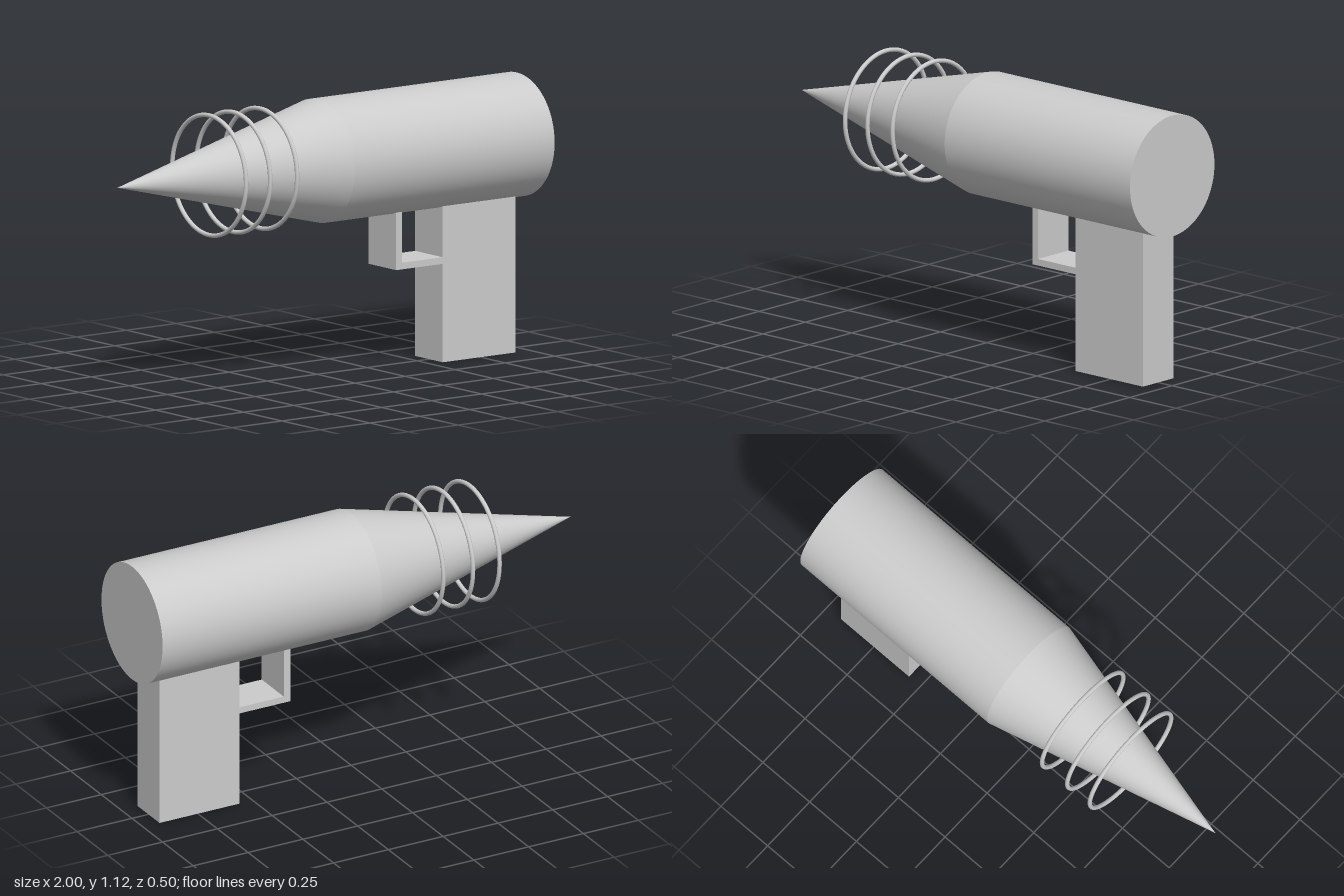
import * as THREE from 'three';

export function createModel() {
  const model = new THREE.Group();
  const material = new THREE.MeshStandardMaterial({ color: 0xcccccc });
  const axisY = 0.863, radius = 0.249;

  function add(name, geometry, x, y, z = 0) {
    const mesh = new THREE.Mesh(geometry, material);
    mesh.name = name;
    mesh.position.set(x, y, z);
    model.add(mesh);
    return mesh;
  }

  // Box given by its x and y limits, centred on z
  function addBox(name, x0, x1, y0, y1, depth = 0.18) {
    const geometry = new THREE.BoxGeometry(x1 - x0, y1 - y0, depth);
    return add(name, geometry, (x0 + x1) / 2, (y0 + y1) / 2, -0.001);
  }

  // Barrel and pointed nose, both lying along x
  add('barrel', new THREE.CylinderGeometry(radius, radius, 1, 96).rotateZ(Math.PI / 2), 0.5, axisY, -0.001);
  add('noseCone', new THREE.ConeGeometry(radius, 1, 96, 24).rotateZ(Math.PI / 2), -0.5, axisY, -0.001);

  // Floating rings around the nose
  [-0.542, -0.421, -0.286].forEach((x, i) => {
    const ring = new THREE.TorusGeometry(0.242, 0.009, 16, 96).rotateY(Math.PI / 2);
    add(`noseRing${i + 1}`, ring, x, axisY + 0.001, 0.001);
  });

  // Grip, sunk into the underside of the barrel
  addBox('grip', 0.561, 0.925, 0, 0.65);

  // L-shaped trigger guard in front of the grip
  addBox('guardPost', 0.328, 0.358, 0.398, 0.65);
  addBox('guardBar', 0.358, 0.561, 0.398, 0.425);

  return model;
}
